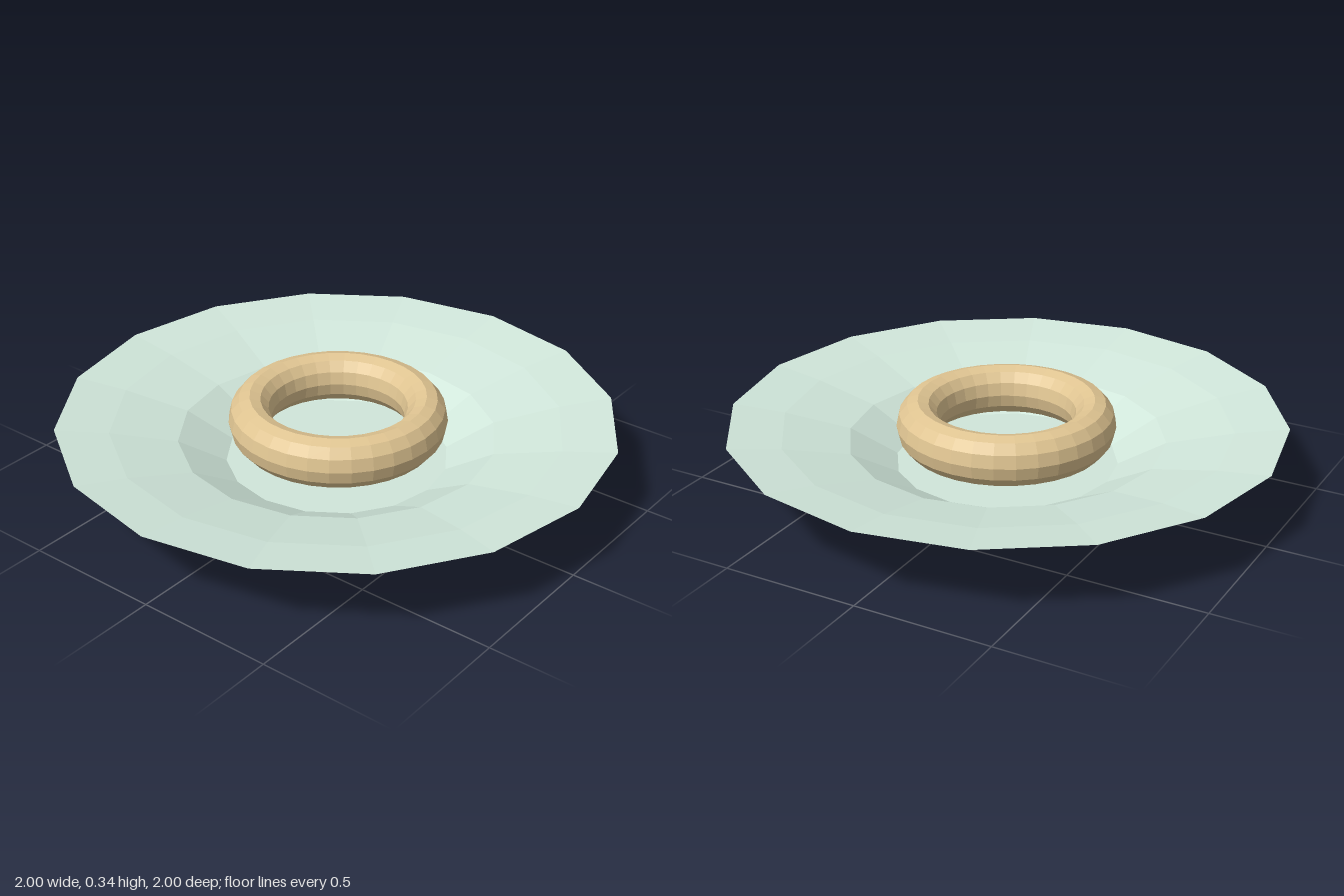
import * as THREE from 'three';

export function createModel() {
  const group = new THREE.Group();
  const add = (name, geometry, color) => {
    const material = new THREE.MeshStandardMaterial({ color, flatShading: true });
    const mesh = new THREE.Mesh(geometry, material);
    mesh.name = name;
    group.add(mesh);
    return mesh;
  };

  // Plate: underside, foot, flared outside, then rim and sunken inside
  const profile = [
    [0, 0.005], [0.4, 0.005], [0.5, 0], [0.5, 0.125], [0.7, 0.21], [1, 0.265],
    [0.81, 0.24], [0.57, 0.19], [0.4, 0.1], [0, 0.1],
  ].map(([r, y]) => new THREE.Vector2(r, y));
  add('plate', new THREE.LatheGeometry(profile, 16), 0xd0e6da);

  // Ring: twelve-sided tube, slightly taller than wide
  const tube = 0.077;
  const ringGeometry = new THREE.TorusGeometry(0.315, tube, 12, 32);
  ringGeometry.rotateX(Math.PI / 2);
  ringGeometry.scale(1, 0.092 / tube, 1);
  add('ring', ringGeometry, 0xe0c592).position.set(0.011, 0.248, -0.004);

  return group;
}
